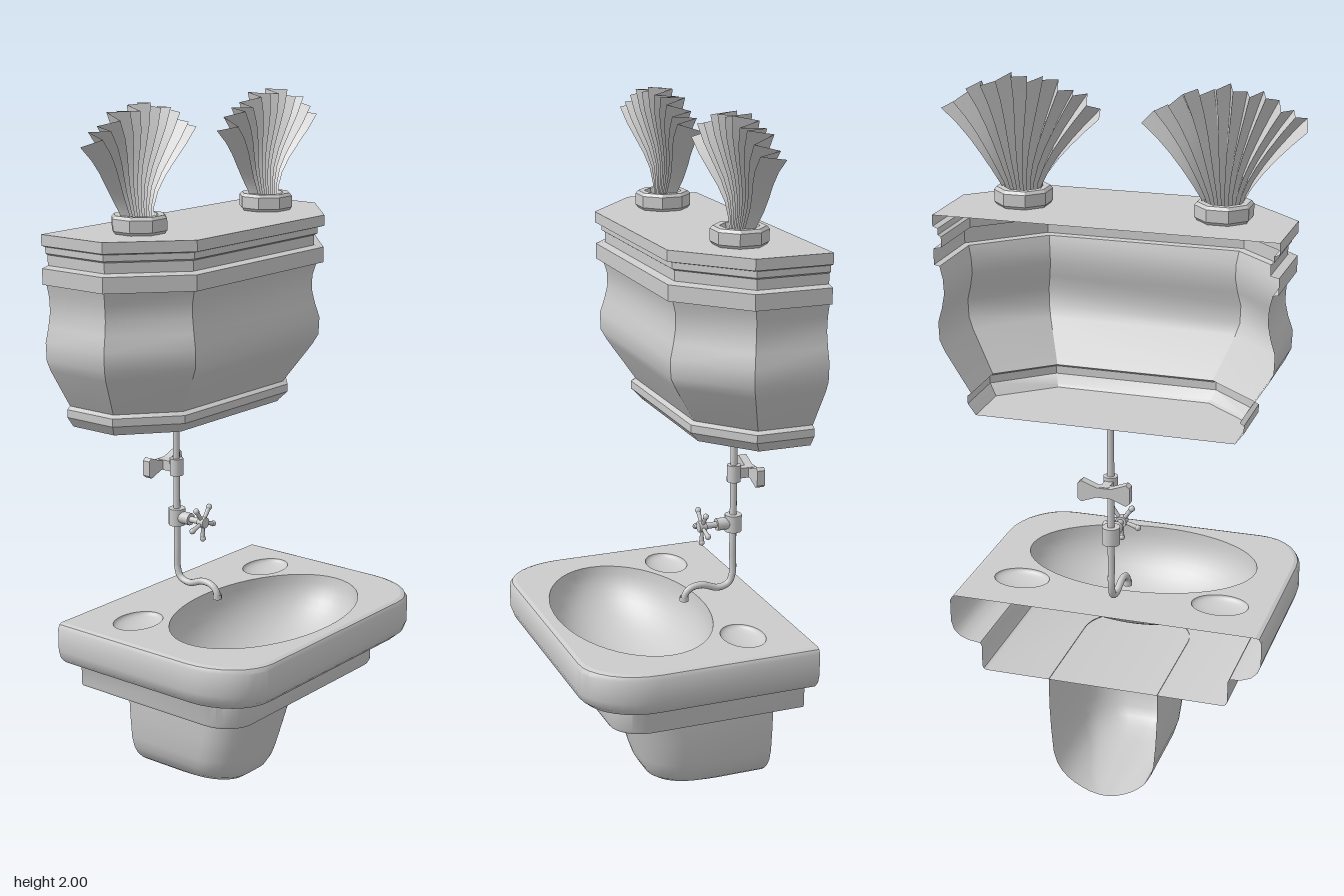
import * as THREE from 'three';
import { toCreasedNormals } from 'three/addons/utils/BufferGeometryUtils.js';

const WALL = -0.325; // plane of the open back
const mat = new THREE.MeshStandardMaterial({ color: 0xcccccc, side: THREE.DoubleSide });

function add(parent, name, geometry, x = 0, y = 0, z = 0) {
  const mesh = new THREE.Mesh(geometry, mat);
  mesh.name = name;
  mesh.position.set(x, y, z);
  parent.add(mesh);
  return mesh;
}

// Skin over rows of points, listed top to bottom
function loft(rows, crease = 0.6) {
  const n = rows[0].length, index = [];
  for (let i = 0; i < rows.length - 1; i++)
    for (let j = 0; j < n - 1; j++) {
      const a = i * n + j, c = a + n;
      index.push(a, c, a + 1, a + 1, c, c + 1);
    }
  const g = new THREE.BufferGeometry();
  g.setAttribute('position', new THREE.Float32BufferAttribute(rows.flat(2), 3));
  g.setIndex(index);
  return toCreasedNormals(g, crease);
}

// Plan outline from the wall round the front and back; n = 1 gives chamfers
function plan(y, front, half, rx, rz, n) {
  const left = [[WALL, y, half]];
  for (let i = 0; i <= n; i++) {
    const a = (i / n) * Math.PI / 2;
    left.push([front - rx + rx * Math.sin(a), y, half - rz + rz * Math.cos(a)]);
  }
  return [...left, ...left.map(([x, h, z]) => [x, h, -z]).reverse()];
}
const cap = (row) => row.map(([x, y]) => [x, y, 0]);

function makeTank() {
  const g = new THREE.Group();
  g.name = 'tank';
  // y, front x, half width
  const profile = [
    [1.66, 0.055, 0.457], [1.63, 0.055, 0.457], [1.625, 0.038, 0.443], [1.608, 0.038, 0.443],
    [1.603, 0.03, 0.435], [1.575, 0.03, 0.435], [1.57, 0.053, 0.457], [1.527, 0.053, 0.457],
    [1.524, 0.036, 0.442], [1.49, 0.026, 0.434], [1.45, 0.025, 0.432], [1.41, 0.033, 0.44],
    [1.37, 0.044, 0.452], [1.32, 0.042, 0.45], [1.29, 0.026, 0.436], [1.18, -0.045, 0.366],
    [1.172, -0.033, 0.377], [1.15, -0.033, 0.377], [1.127, -0.055, 0.36], [1.12, -0.06, 0.355],
  ];
  const rows = profile.map(([y, x, w]) =>
    plan(y, x, w, 0.165 * (x - WALL) / 0.38, 0.18 * w / 0.457, 1));
  add(g, 'tankShell', loft([cap(rows[0]), ...rows, cap(rows.at(-1))], 0.5), 0, 0, 0.007);
  return g;
}

// Pleated fan of leaves in an eight-sided pot
function makePlant(z, phase) {
  const g = new THREE.Group();
  g.name = 'plant';
  const pot = [[0.07, 0], [0.077, 0.008], [0.077, 0.04], [0.07, 0.048], [0.052, 0.048], [0.045, 0.02], [0, 0.02]];
  const potGeo = new THREE.LatheGeometry(pot.map(p => new THREE.Vector2(...p)), 8, Math.PI / 8);
  add(g, 'pot', toCreasedNormals(potGeo, 0.6), -0.147, 1.66, z);
  const rows = [], cols = 22;
  for (let i = 6; i >= 0; i--) {
    const v = i / 6, row = [];
    for (let j = 0; j <= cols; j++) {
      const s = (j / cols) * 2 - 1, t = s * 0.78;
      const fold = (j % 2 ? 1 : -1) * (0.012 + 0.02 * v);
      const length = 0.31 + 0.008 * Math.sin(j * 1.3 + phase);
      row.push([
        -0.145 + fold + 0.012 * s * v - 0.012 * Math.sin(v * 5),
        1.68 + v * length * Math.cos(t),
        z + 0.045 * s + (0.3 * Math.sin(t) - 0.045 * s) * v ** 1.5,
      ]);
    }
    rows.push(row);
  }
  add(g, 'leafFan', loft(rows, 0.4));
  return g;
}

function makeBasin() {
  const g = new THREE.Group();
  g.name = 'basin';
  const top = 0.57;
  // y, inset from the widest outline
  const profile = [
    [top, 0.016], [0.566, 0.006], [0.555, 0], [0.49, 0], [0.465, 0.008], [0.447, 0.026], [0.437, 0.052],
    [0.433, 0.085], [0.425, 0.09], [0.362, 0.09], [0.354, 0.094], [0.35, 0.102],
  ];
  const rows = profile.map(([y, d]) => plan(y, 0.322 - d * 1.1, 0.445 - d, 0.19 - d, 0.15 - d * 0.7, 8));
  add(g, 'basinBody', loft([...rows, cap(rows.at(-1))]));

  // Top slab with openings for the bowl and two soap dishes
  const shape = new THREE.Shape(rows[0].map(([x, , z]) => new THREE.Vector2(x, -z)));
  const openings = [
    { name: 'bowl', x: 0.06, z: 0, rx: 0.215, rz: 0.338, depth: 0.185 },
    { name: 'soapDish', x: -0.165, z: 0.29, rx: 0.06, rz: 0.08, depth: 0.022 },
    { name: 'soapDish', x: -0.165, z: -0.29, rx: 0.06, rz: 0.08, depth: 0.022 },
  ];
  for (const o of openings) {
    const hole = new THREE.Path();
    hole.absellipse(o.x, -o.z, o.rx, o.rz, 0, Math.PI * 2, true);
    shape.holes.push(hole);
    const curve = [];
    for (let i = 0; i <= 12; i++) {
      const a = (i / 12) * Math.PI / 2;
      curve.push(new THREE.Vector2(Math.cos(a), -o.depth * Math.sin(a)));
    }
    const dish = new THREE.LatheGeometry(curve, 48);
    dish.scale(o.rx, 1, o.rz);
    add(g, o.name, dish, o.x, top, o.z);
  }
  add(g, 'basinTop', new THREE.ShapeGeometry(shape, 24).rotateX(-Math.PI / 2), 0, top, 0);

  // Drain
  add(g, 'drainRing', new THREE.TorusGeometry(0.022, 0.005, 6, 16).rotateX(Math.PI / 2), 0.06, 0.389, 0);
  for (const a of [0, Math.PI / 2])
    add(g, 'drainBar', new THREE.BoxGeometry(0.044, 0.006, 0.007).rotateY(a), 0.06, 0.389, 0);
  return g;
}

function makePedestal() {
  // y, front x, half width
  const profile = [
    [0.352, 0.117, 0.157], [0.27, 0.092, 0.157], [0.19, 0.068, 0.153], [0.12, 0.047, 0.147],
    [0.085, 0.035, 0.137], [0.06, 0.02, 0.122], [0.042, -0.005, 0.104], [0.028, -0.06, 0.085],
    [0.016, -0.16, 0.062], [0.007, -0.25, 0.04], [0.001, WALL + 0.005, 0.012],
  ];
  const rows = profile.map(([y, x, w]) => plan(y, x, w, Math.min(0.12, (x - WALL) * 0.6), w * 0.75, 8));
  return loft([...rows, cap(rows.at(-1))], 0.9);
}

function makePlumbing() {
  const g = new THREE.Group();
  g.name = 'plumbing';
  g.position.z = 0.007;
  const px = -0.26;
  const path = new THREE.CatmullRomCurve3([
    [px, 1.12], [px, 0.9], [px, 0.7], [px, 0.63], [-0.248, 0.602], [-0.215, 0.592],
    [-0.165, 0.607], [-0.13, 0.602], [-0.113, 0.585], [-0.11, 0.565],
  ].map(([x, y]) => new THREE.Vector3(x, y, 0)));
  add(g, 'pipe', new THREE.TubeGeometry(path, 80, 0.01, 10));
  add(g, 'spoutTip', new THREE.CylinderGeometry(0.013, 0.013, 0.014, 10, 1, true), -0.11, 0.572, 0);
  add(g, 'pipeFlange', new THREE.CylinderGeometry(0.021, 0.018, 0.014, 12), px, 1.113, 0);

  // Wall bracket with a bow-tie plate
  const half = [[0.072, 0.022], [0.062, 0.03], [0.02, 0.014]];
  const tie = [
    ...half, ...half.map(([x, y]) => [-x, y]).reverse(),
    ...half.map(([x, y]) => [-x, -y]), ...half.map(([x, y]) => [x, -y]).reverse(),
  ];
  const plate = new THREE.Shape(tie.map(p => new THREE.Vector2(...p)));
  add(g, 'bracketPlate', new THREE.ExtrudeGeometry(plate, { depth: 0.024, bevelEnabled: false })
    .rotateY(Math.PI / 2), WALL, 0.937, 0);
  add(g, 'bracketArm', new THREE.BoxGeometry(0.06, 0.03, 0.024), -0.29, 0.937, 0);
  add(g, 'bracketCollar', new THREE.CylinderGeometry(0.02, 0.02, 0.05, 12), px, 0.937, 0);

  // Tap with a five-armed handle
  const y = 0.787;
  add(g, 'valveBody', new THREE.CylinderGeometry(0.025, 0.025, 0.05, 12), px, y, 0);
  const rod = (r, l) => new THREE.CylinderGeometry(r, r, l, 10).rotateZ(Math.PI / 2);
  add(g, 'valveNeck', rod(0.018, 0.035), -0.225, y, 0);
  add(g, 'valveSpindle', rod(0.009, 0.07), -0.19, y, 0);
  add(g, 'handleHub', rod(0.016, 0.022), -0.163, y, 0);
  for (let i = 0; i < 5; i++) {
    const arm = new THREE.Group();
    arm.name = 'handleArm';
    arm.position.set(-0.163, y, 0);
    arm.rotation.x = Math.PI + (i * Math.PI * 2) / 5;
    add(arm, 'armRod', new THREE.CylinderGeometry(0.007, 0.005, 0.045, 8), 0, 0.027, 0);
    add(arm, 'armKnob', new THREE.SphereGeometry(0.009, 8, 6), 0, 0.049, 0);
    g.add(arm);
  }
  return g;
}

export function createModel() {
  const model = new THREE.Group();
  model.name = 'wallFountain';
  model.add(makeTank(), makePlant(0.278, 0), makePlant(-0.264, 2), makeBasin(), makePlumbing());
  add(model, 'pedestal', makePedestal());
  return model;
}
